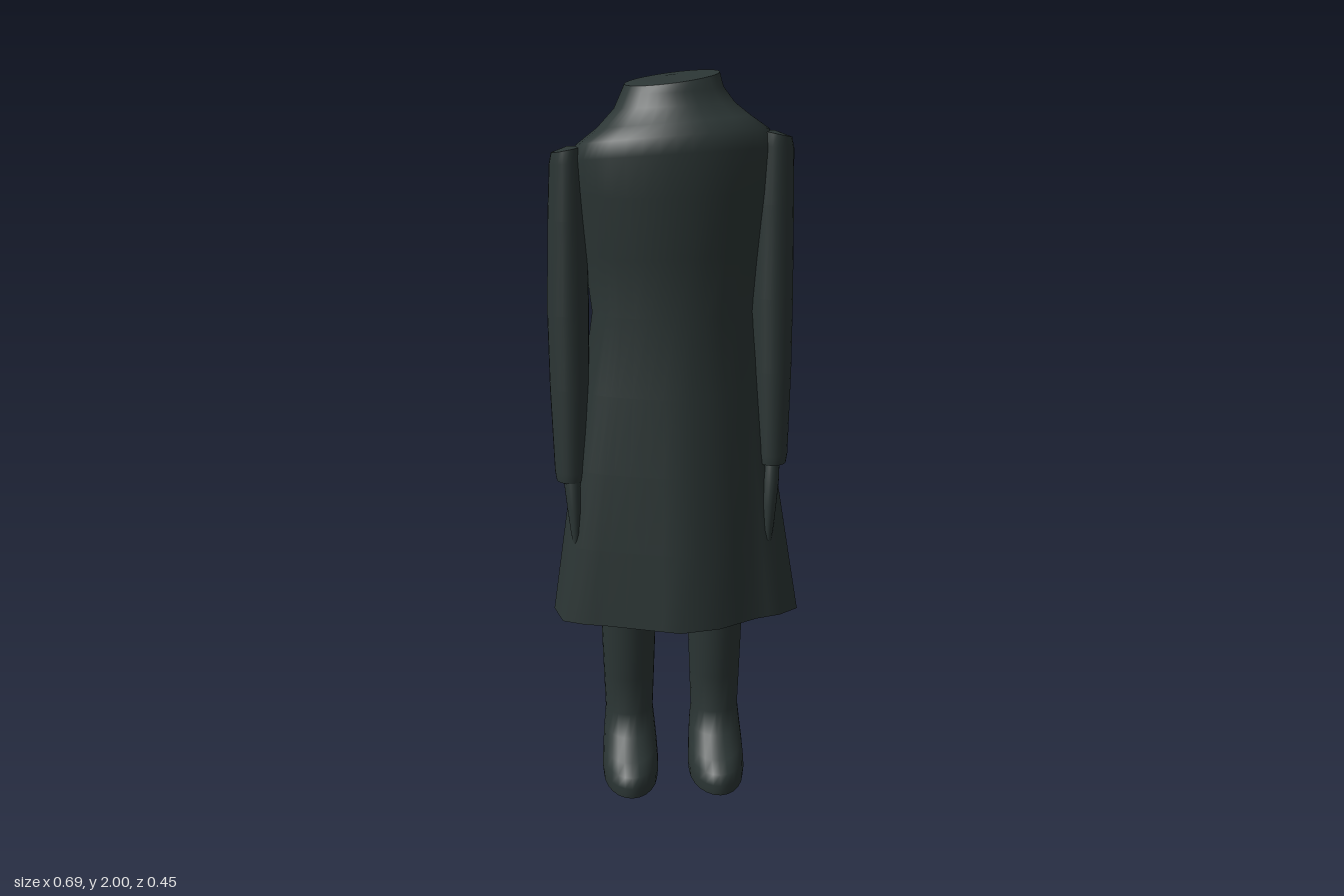
import * as THREE from 'three';

const cloth = new THREE.MeshStandardMaterial({ color: 0x2b3534 });
cloth.name = 'dark grey green';

// Elliptical cross-section spanning x0..x1 and z0..z1, tilted by slopes in x and z
function ring(y, x0, x1, z0, z1, tx = 0, tz = 0, n = 24) {
  const cx = (x0 + x1) / 2, cz = (z0 + z1) / 2;
  return Array.from({ length: n }, (_, i) => {
    const a = (i / n) * Math.PI * 2;
    const dx = Math.cos(a) * (x1 - x0) / 2, dz = Math.sin(a) * (z1 - z0) / 2;
    return new THREE.Vector3(cx + dx, y + tx * dx + tz * dz, cz + dz);
  });
}

// Skin rings from bottom to top, with smooth sides and sharp-edged end caps
function loft(name, rings, dome = 0) {
  const n = rings[0].length, pos = [], idx = [];
  const push = (p) => pos.push(p.x, p.y, p.z);
  rings.forEach((r) => r.forEach(push));
  for (let k = 0; k < rings.length - 1; k++) {
    for (let i = 0; i < n; i++) {
      const a = k * n + i, b = k * n + (i + 1) % n;
      idx.push(a, a + n, b, b, a + n, b + n);
    }
  }
  [rings[0], rings[rings.length - 1]].forEach((r, top) => {
    const start = pos.length / 3;
    r.forEach(push);
    const c = r.reduce((s, p) => s.add(p), new THREE.Vector3()).divideScalar(n);
    if (top) c.y += dome;
    push(c);
    for (let i = 0; i < n; i++) {
      const a = start + i, b = start + (i + 1) % n;
      if (top) idx.push(a, start + n, b);
      else idx.push(a, b, start + n);
    }
  });
  const geo = new THREE.BufferGeometry();
  geo.setAttribute('position', new THREE.Float32BufferAttribute(pos, 3));
  geo.setIndex(idx);
  geo.computeVertexNormals();
  const mesh = new THREE.Mesh(geo, cloth);
  mesh.name = name;
  return mesh;
}

// Irregular hem outline, as x, z pairs from the left side round the front
const hem = [
  [0.345, 0], [0.345, 0.06], [0.29, 0.105], [0.22, 0.13], [0.11, 0.2], [0, 0.225],
  [-0.1, 0.19], [-0.2, 0.155], [-0.26, 0.14], [-0.32, 0.11], [-0.345, 0.01], [-0.305, -0.07],
  [-0.302, -0.14], [-0.28, -0.2], [-0.215, -0.225], [0, -0.222], [0.1, -0.229],
  [0.195, -0.22], [0.25, -0.185], [0.31, -0.09],
];

function makeCoat() {
  const m = hem.length, n = m * 2;
  const outline = Array.from({ length: n }, (_, i) => {
    const a = hem[i >> 1], b = hem[((i + 1) >> 1) % m];
    return new THREE.Vector3((a[0] + b[0]) / 2, 0.51, (a[1] + b[1]) / 2);
  });
  const angles = outline.map((p) => Math.atan2(p.z / 0.225, p.x / 0.345));
  // Ellipse whose points line up with the hem points
  const body = (y, x0, x1, z0, z1, tx = 0, tz = 0) => angles.map((a) => {
    const dx = Math.cos(a) * (x1 - x0) / 2, dz = Math.sin(a) * (z1 - z0) / 2;
    return new THREE.Vector3((x0 + x1) / 2 + dx, y + tx * dx + tz * dz, (z0 + z1) / 2 + dz);
  });
  const waist = body(1.36, -0.225, 0.215, -0.167, 0.14);
  const skirt = [0, 0.25, 0.5, 0.75].map((t) => outline.map((p, i) => p.clone().lerp(waist[i], t)));
  return loft('coat', [
    ...skirt,
    waist,
    body(1.52, -0.245, 0.232, -0.172, 0.153),
    body(1.68, -0.265, 0.25, -0.172, 0.165, 0.02),
    body(1.78, -0.273, 0.258, -0.165, 0.167, 0.06, 0.05),
    body(1.825, -0.262, 0.25, -0.155, 0.16, 0.08, 0.06),
    body(1.865, -0.205, 0.2, -0.142, 0.132, 0.08),
    body(1.905, -0.16, 0.16, -0.132, 0.1, 0.05),
    body(1.945, -0.142, 0.13, -0.128, 0.092, 0.06, -0.06),
    body(1.975, -0.132, 0.12, -0.124, 0.078, 0.13, -0.13),
  ], 0.008);
}

// Sleeve and hand; side +1 is the left arm, -1 the right
function makeArm(side) {
  const group = new THREE.Group();
  group.name = side > 0 ? 'leftArm' : 'rightArm';
  const drop = side > 0 ? 0 : -0.04, out = side > 0 ? 0 : 0.025;
  // Mirrored section from inner and outer distances to the middle
  const part = (y, a, b, z0, z1, tx = 0) => (side > 0
    ? ring(y, a, b, z0, z1, tx) : ring(y, -b, -a, z0, z1, -tx));
  group.add(loft('sleeve', [
    part(0.945 + drop, 0.225 + out, 0.305 + out, -0.002, 0.1),
    part(0.97 + drop, 0.222 + out, 0.309 + out, -0.007, 0.102),
    part(1.2 + drop, 0.212 + out, 0.318 + out, -0.035, 0.09),
    part(1.4 + drop, 0.208 + out, 0.321 + out, -0.055, 0.078),
    part(1.65 + drop, 0.21 + out, 0.32 + out * 0.8, -0.075, 0.07),
    part(1.8 + drop, 0.212 + out, 0.318 + out * 0.6, -0.08, 0.07, -0.1),
    part(1.833 + drop, 0.218 + out, 0.312 + out * 0.6, -0.076, 0.066, -0.2),
  ], 0.008));
  group.add(loft('hand', [
    part(0.73, 0.248 + out, 0.262 + out, 0.085, 0.1),
    part(0.76, 0.24 + out, 0.268 + out, 0.07, 0.104),
    part(0.83, 0.235 + out, 0.277 + out, 0.045, 0.106),
    part(0.9, 0.235 + out, 0.285 + out, 0.025, 0.1),
    part(0.97, 0.242 + out, 0.288 + out, 0.02, 0.08),
  ]));
  return group;
}

// Leg and shoe centred on x
function makeLeg(side) {
  const x = side > 0 ? 0.117 : -0.133;
  const group = new THREE.Group();
  group.name = side > 0 ? 'leftLeg' : 'rightLeg';
  const part = (y, r, z0, z1, tz = 0) => ring(y, x - r, x + r, z0, z1, 0, tz);
  group.add(loft('legAndShoe', [
    part(0, 0.078, -0.114, 0.194),
    part(0.03, 0.081, -0.116, 0.197),
    part(0.06, 0.08, -0.115, 0.188),
    part(0.095, 0.078, -0.112, 0.145, -0.1),
    part(0.14, 0.074, -0.105, 0.085, -0.1),
    part(0.19, 0.069, -0.097, 0.052),
    part(0.3, 0.073, -0.098, 0.058),
    part(0.53, 0.081, -0.106, 0.074),
  ]));
  return group;
}

export function createModel() {
  const model = new THREE.Group();
  model.name = 'coatedFigure';
  model.add(makeCoat());
  for (const side of [1, -1]) model.add(makeArm(side), makeLeg(side));
  return model;
}
